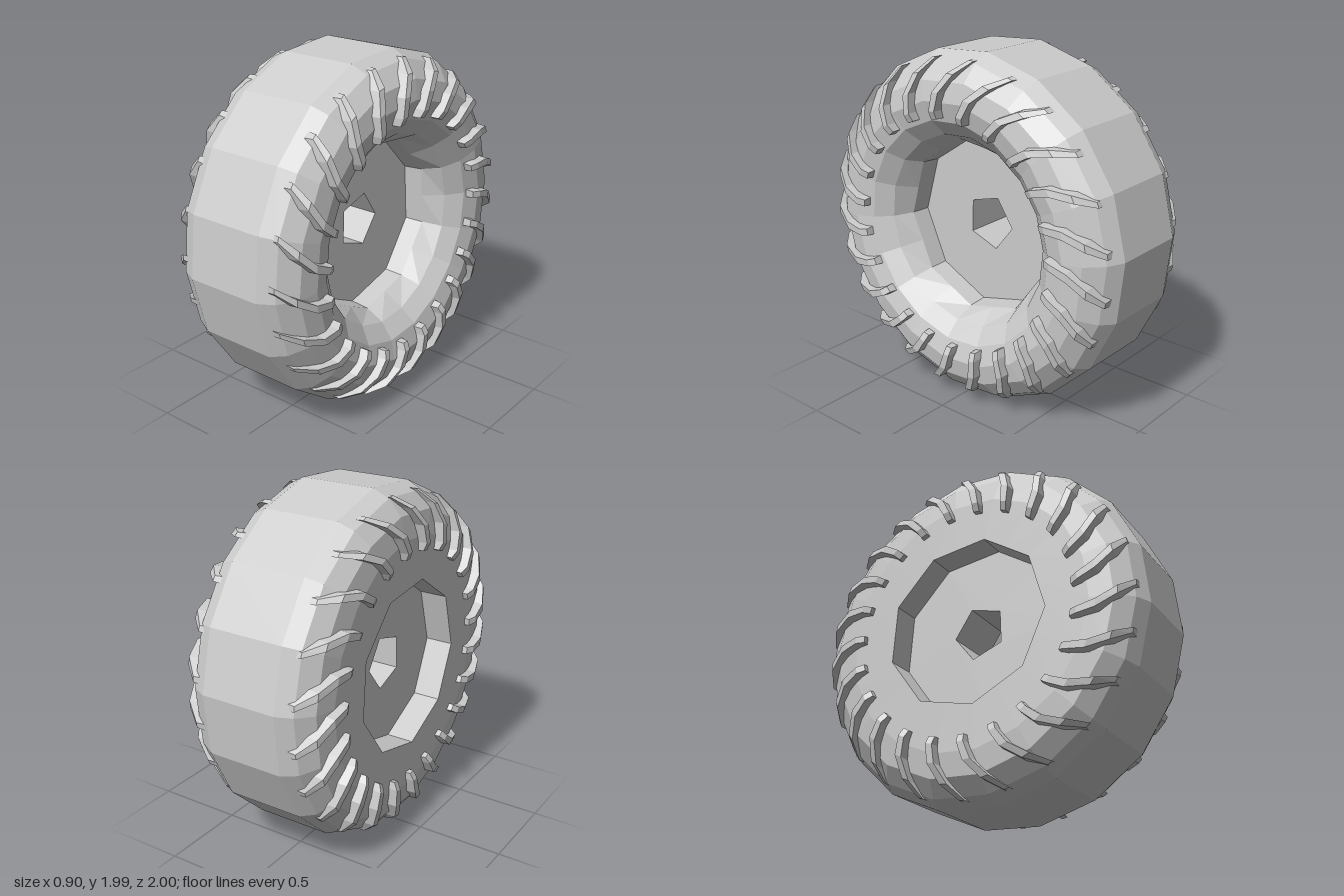
import * as THREE from 'three';

const DEG = Math.PI / 180;
const material = new THREE.MeshStandardMaterial({ color: 0xcccccc, flatShading: true });

// Skin a list of closed rings (each an array of [x, y, z]); optional flat ends.
function loft(rings, capped = false) {
  const n = rings[0].length;
  const index = [];
  for (let j = 0; j < rings.length - 1; j++) {
    for (let i = 0; i < n; i++) {
      const a = j * n + i, b = j * n + (i + 1) % n;
      index.push(a, a + n, b, b, a + n, b + n);
    }
  }
  if (capped) {
    const e = (rings.length - 1) * n;
    for (let i = 1; i < n - 1; i++) index.push(0, i, i + 1, e, e + i + 1, e + i);
  }
  const geo = new THREE.BufferGeometry();
  geo.setAttribute('position', new THREE.Float32BufferAttribute(rings.flat(2), 3));
  geo.setIndex(index);
  const flat = geo.toNonIndexed();
  flat.computeVertexNormals();
  return flat;
}

// Regular polygon outline
function polygon(target, sides, radius, startDeg) {
  const pts = [];
  for (let i = 0; i < sides; i++) {
    const a = startDeg * DEG + i * 2 * Math.PI / sides;
    pts.push(new THREE.Vector2(Math.cos(a) * radius, Math.sin(a) * radius));
  }
  return target.setFromPoints(pts);
}

// Tyre body: 18-sided, its wheel opening reduced to a 9-sided polygon.
// Each row is [axial position, radius, nine-sided].
function tyreGeometry() {
  const profile = [
    [0.08, 0.49, true], [0.19, 0.50, true], [0.30, 0.55], [0.375, 0.64],
    [0.405, 0.75], [0.385, 0.86], [0.31, 0.955], [0.22, 1.002],
    [-0.22, 1.002], [-0.31, 0.96], [-0.38, 0.87], [-0.40, 0.74],
    [-0.40, 0.49, true], [-0.24, 0.49, true],
  ];
  const rings = profile.map(([w, r, nine]) =>
    Array.from({ length: 18 }, (_, i) => {
      const a = (24 + i * 20) * DEG;
      const rad = nine && i % 2 ? r * Math.cos(Math.PI / 9) : r;
      return [Math.cos(a) * rad, Math.sin(a) * rad, w];
    }));
  return loft(rings);
}

// One bent side lug: [radius, sweep in degrees, base, top, half width]
function lugGeometry(side) {
  const stations = [
    [0.655, 0, 0.33, 0.43, 0.028],
    [0.70, -0.5, 0.34, 0.45, 0.028],
    [0.80, -3, 0.34, 0.445, 0.032],
    [0.90, -8, 0.28, 0.405, 0.032],
    [0.965, -12, 0.22, 0.315, 0.022],
  ];
  const rings = stations.map(([r, sweep, base, top, h]) => {
    const a = sweep * DEG;
    const at = (offset, w) => [
      Math.cos(a) * r - Math.sin(a) * offset,
      Math.sin(a) * r + Math.cos(a) * offset,
      w * side,
    ];
    const ring = [at(-h, base), at(-h * 0.7, top), at(h * 0.7, top), at(h, base)];
    return side > 0 ? ring : ring.reverse();
  });
  return loft(rings, true);
}

export function createModel() {
  const model = new THREE.Group();
  model.name = 'wheel';

  // Everything is built around the z axis, then the axle is turned to x
  const wheel = new THREE.Group();
  wheel.name = 'wheelAssembly';
  wheel.rotation.y = Math.PI / 2;
  wheel.position.y = 1;
  model.add(wheel);

  const tyre = new THREE.Mesh(tyreGeometry(), material);
  tyre.name = 'tyre';
  wheel.add(tyre);

  // Thick hub plate with a five-sided axle hole
  const plate = polygon(new THREE.Shape(), 9, 0.49, 24);
  plate.holes.push(polygon(new THREE.Path(), 5, 0.16, -2));
  const hubGeo = new THREE.ExtrudeGeometry(plate, { depth: 0.32, bevelEnabled: false });
  hubGeo.translate(0, 0, -0.24);
  const hub = new THREE.Mesh(hubGeo, material);
  hub.name = 'hubPlate';
  wheel.add(hub);

  // Rings of lugs on both sidewalls
  const count = 23;
  for (const side of [1, -1]) {
    const lugs = new THREE.Group();
    lugs.name = side > 0 ? 'leftLugs' : 'rightLugs';
    const geo = lugGeometry(side);
    for (let k = 0; k < count; k++) {
      const lug = new THREE.Mesh(geo, material);
      lug.name = 'lug';
      lug.rotation.z = (97.3 - k * 360 / count) * DEG;
      lugs.add(lug);
    }
    wheel.add(lugs);
  }
  return model;
}
